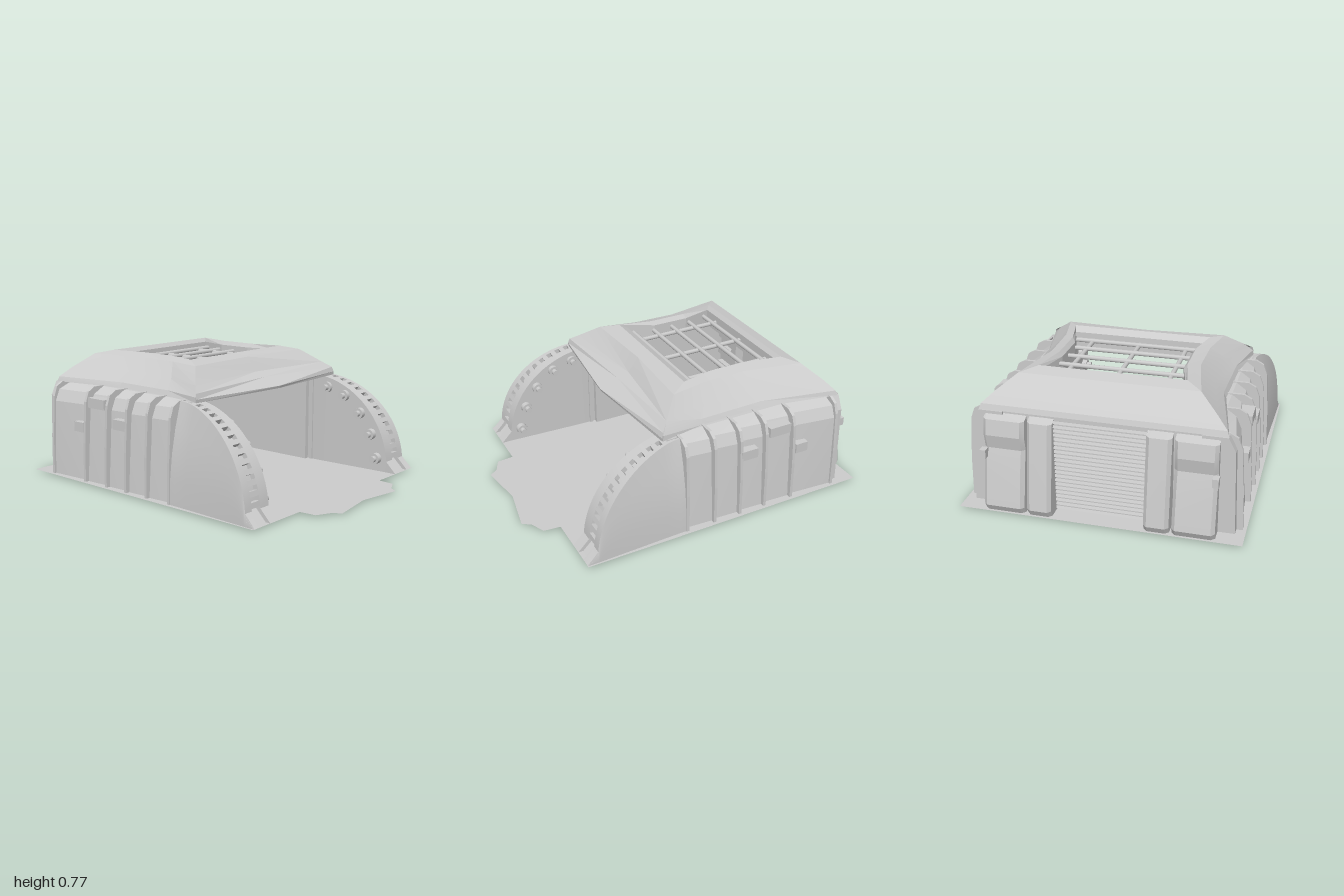
import * as THREE from 'three';
import { toCreasedNormals } from 'three/addons/utils/BufferGeometryUtils.js';

const grey = new THREE.MeshStandardMaterial({ color: 0xcccccc, side: THREE.DoubleSide });
const FLOOR = 0.012;

function add(parent, name, geometry, x = 0, y = 0, z = 0) {
  const mesh = new THREE.Mesh(geometry, grey);
  mesh.name = name;
  mesh.position.set(x, y, z);
  parent.add(mesh);
  return mesh;
}

function box(parent, name, x0, x1, y0, y1, z0, z1) {
  return add(parent, name, new THREE.BoxGeometry(x1 - x0, y1 - y0, z1 - z0),
    (x0 + x1) / 2, (y0 + y1) / 2, (z0 + z1) / 2);
}

// Surface through rows of [x, y, z] points; closed joins each row's end to its start
function loft(rows, closed = false, crease = 0.3) {
  const n = rows[0].length, pos = [], index = [];
  rows.forEach(r => r.forEach(p => pos.push(...p)));
  for (let i = 0; i < rows.length - 1; i++) {
    for (let j = 0; j < (closed ? n : n - 1); j++) {
      const a = i * n + j, b = i * n + (j + 1) % n;
      index.push(a, b, a + n, b, b + n, a + n);
    }
  }
  const g = new THREE.BufferGeometry();
  g.setAttribute('position', new THREE.Float32BufferAttribute(pos, 3));
  g.setIndex(index);
  return toCreasedNormals(g, crease);
}

function outline(points) {
  return new THREE.Shape(points.map(p => new THREE.Vector2(...p)));
}

// Slab with an x-y outline, between two z values
function slab(parent, name, points, z0, z1) {
  const g = new THREE.ExtrudeGeometry(outline(points), { depth: z1 - z0, bevelEnabled: false });
  return add(parent, name, g, 0, 0, z0);
}

// Curved front fin with a laddered groove along its edge
function buildFin(side) {
  const fin = new THREE.Group();
  fin.name = 'frontFin';
  const arc = t => [0.18 + 0.565 * Math.cos(t), 0.03 + 0.555 * Math.sin(t)];
  const lean = z => THREE.MathUtils.clamp((0.75 - z) / 0.5, 0, 1);
  const section = (z, y, t) => {
    const s = lean(z), dz = 0.03 * Math.cos(t), dy = Math.min(0.03 * Math.sin(t), y - FLOOR);
    const inner = 0.59 - 0.02 * s, band = 0.66 - 0.035 * s;
    const rim = 0.73 - 0.065 * s, edge = 0.785 - 0.105 * s, foot = 0.79 - 0.015 * s;
    const row = [[inner, FLOOR, z], [inner, y, z], [band, y, z], [band, y - dy, z - dz],
      [rim, y - dy, z - dz], [rim, y, z], [edge, y, z]];
    for (const v of [0.75, 0.5, 0.25, 0]) {
      row.push([foot - (foot - edge) * v * v, FLOOR + (y - FLOOR) * v, z]);
    }
    return row;
  };
  const rows = [section(0.81, FLOOR, 0)];
  for (let i = 0; i <= 20; i++) {
    const t = 0.09 + (Math.PI / 2 - 0.09) * i / 20;
    rows.push(section(...arc(t), t));
  }
  add(fin, 'finShell', loft(rows, true, 0.4));
  // Rungs across the groove
  for (let i = 0; i < 13; i++) {
    const t = 0.14 + i * 0.105, [z, y] = arc(t), s = lean(z);
    const rung = add(fin, 'rung', new THREE.BoxGeometry(0.075 - 0.025 * s, 0.03, 0.035),
      0.695 - 0.05 * s, y - 0.018 * Math.sin(t), z - 0.018 * Math.cos(t));
    rung.rotation.x = -t;
  }
  // Studs on the inner face
  for (const [z, y] of [[0.675, 0.095], [0.63, 0.245], [0.547, 0.37], [0.43, 0.47], [0.3, 0.51]]) {
    add(fin, 'studFlange', new THREE.CylinderGeometry(0.034, 0.034, 0.035, 16), 0.57, y, z).rotation.z = Math.PI / 2;
    add(fin, 'studPin', new THREE.CylinderGeometry(0.019, 0.019, 0.06, 12), 0.555, y, z).rotation.z = Math.PI / 2;
  }
  side.add(fin);
}

// Side wall: stepped panels between pointed ribs
function buildSideWall(side) {
  const ribs = [0.18, 0.0, -0.17, -0.34, -0.53, -0.83];
  const section = (z, d) => [[0.57, FLOOR, z], [0.57, 0.58, z], [0.62, 0.58, z],
    [0.69 + d, 0.54, z], [0.72 + d, 0.47, z], [0.755 + d / 2, FLOOR, z]];
  for (let i = 0; i < ribs.length - 1; i++) {
    const lift = i === 4 ? 0.03 : 0.005;
    add(side, 'sidePanel', loft([section(ribs[i], -0.015), section(ribs[i + 1], lift)], true));
  }
  const profile = [[0.56, FLOOR], [0.56, 0.585], [0.69, 0.585], [0.735, 0.56], [0.757, 0.5], [0.775, 0.25], [0.78, FLOOR]];
  for (const z of ribs) slab(side, 'rib', profile, z - 0.009, z + 0.009);
  // Rear corner post
  slab(side, 'cornerPost', [[0.55, FLOOR], [0.55, 0.58], [0.69, 0.58], [0.73, 0.5], [0.745, FLOOR]], -0.885, -0.83);
  box(side, 'sideHandle', 0.71, 0.765, 0.37, 0.43, -0.28, -0.17);
  box(side, 'sideLatch', 0.71, 0.765, 0.31, 0.37, -0.63, -0.55);
  box(side, 'shoulderBlock', 0.66, 0.76, 0.47, 0.53, -0.5, -0.36);
}

// Rear buttresses, leaning out toward the ground
function buildRear(side) {
  const buttress = (name, x0, x1, profile) => {
    const rows = [x0, x0 + 0.02, x1 - 0.02, x1].map((x, i) => profile.map(([z, y]) =>
      [x, y, i % 3 === 0 ? Math.min(z + 0.02, -0.86) : z]));
    add(side, name, loft(rows, false));
    for (const x of [x0, x1]) {
      add(side, name + 'Cheek', loft([profile.map(([z, y]) => [x, y, Math.min(z + 0.02, -0.86)]),
        profile.map(([, y]) => [x, y, -0.86])]));
    }
  };
  buttress('rearPillar', 0.26, 0.4,
    [[-0.86, 0.57], [-0.925, 0.55], [-0.945, 0.42], [-0.995, 0.05], [-0.975, FLOOR]]);
  buttress('rearPanel', 0.415, 0.65,
    [[-0.86, 0.57], [-0.93, 0.55], [-0.945, 0.46], [-0.93, 0.38], [-0.955, 0.28], [-0.995, 0.05], [-0.975, FLOOR]]);
  box(side, 'rearLatch', 0.625, 0.66, 0.33, 0.38, -0.975, -0.93);
  // Fittings on the inside of the rear wall
  box(side, 'doorPost', 0.26, 0.315, FLOOR, 0.58, -0.83, -0.77);
  for (const y of [0.24, 0.37, 0.495]) box(side, 'wallPanel', 0.32, 0.52, y - 0.033, y + 0.033, -0.83, -0.795);
  box(side, 'floorLocker', 0.42, 0.53, FLOOR, 0.115, -0.83, -0.74);
  box(side, 'innerColumn', 0.54, 0.58, FLOOR, 0.58, -0.83, 0.15);
}

// Waisted roof built from rings around the hatch
function buildRoof(model) {
  const ring = (y, half) => {
    const pts = half.map(([x, z]) => [x, y, z]);
    return [...pts, ...half.slice(1, -1).reverse().map(([x, z]) => [-x, y, z])];
  };
  const rings = [
    ring(0.58, [[0, 0.2], [0.655, 0.28], [0.605, 0], [0.595, -0.4], [0.69, -0.875], [0, -0.875]]),
    ring(0.61, [[0, 0.2], [0.65, 0.275], [0.59, 0], [0.58, -0.4], [0.68, -0.865], [0, -0.865]]),
    ring(0.665, [[0, 0.165], [0.6, 0.23], [0.53, -0.03], [0.525, -0.38], [0.62, -0.815], [0, -0.815]]),
    ring(0.75, [[0, 0.1], [0.49, 0.125], [0.445, -0.1], [0.44, -0.37], [0.51, -0.72], [0, -0.72]]),
    ring(0.77, [[0, 0.02], [0.42, 0.02], [0.375, -0.18], [0.375, -0.42], [0.42, -0.64], [0, -0.64]]),
    ring(0.745, [[0, -0.03], [0.405, -0.03], [0.355, -0.2], [0.355, -0.43], [0.405, -0.62], [0, -0.62]]),
    ring(0.64, [[0, -0.03], [0.405, -0.03], [0.355, -0.2], [0.355, -0.43], [0.405, -0.62], [0, -0.62]]),
  ];
  add(model, 'roofShell', loft(rings, true, 0.2));
  // Pointed visor over the entrance
  add(model, 'visor', loft([
    [[-0.6, 0.665, 0.23], [0, 0.665, 0.165], [0.6, 0.665, 0.23]],
    [[-0.648, 0.63, 0.275], [0, 0.64, 0.235], [0.648, 0.63, 0.275]],
    [[-0.655, 0.6, 0.285], [0, 0.6, 0.355], [0.655, 0.6, 0.285]],
    [[-0.655, 0.58, 0.283], [0, 0.585, 0.35], [0.655, 0.58, 0.283]],
    [[-0.655, 0.58, 0.18], [0, 0.58, 0.18], [0.655, 0.58, 0.18]],
  ], false, 0.1));
  // Hatch bars
  for (const z of [-0.585, -0.455, -0.325, -0.195, -0.065]) {
    add(model, 'hatchCrossBar', new THREE.CylinderGeometry(0.014, 0.014, 0.78, 8), 0, 0.71, z).rotation.z = Math.PI / 2;
  }
  for (const x of [-0.29, 0, 0.29]) {
    add(model, 'hatchLongBar', new THREE.CylinderGeometry(0.014, 0.014, 0.6, 8), x, 0.7, -0.325).rotation.x = Math.PI / 2;
  }
}

export function createModel() {
  const model = new THREE.Group();
  model.name = 'shelter';

  // Ground sheet with a notched front tongue
  const edge = [[0.8, -0.99], [0.8, 0.81], [0.405, 0.81], [0.395, 0.91], [0.31, 0.95], [0.275, 1.0]];
  const sheet = [...edge, [0, 0.955], ...edge.slice().reverse().map(([x, z]) => [-x, z])];
  add(model, 'groundSheet', new THREE.ShapeGeometry(outline(sheet)), 0, FLOOR, 0).rotation.x = Math.PI / 2;
  box(model, 'doorSill', -0.26, 0.31, 0, FLOOR, -0.85, -0.835);

  // Rear wall with a slatted shutter
  box(model, 'rearWall', -0.68, 0.68, FLOOR, 0.585, -0.87, -0.83);
  for (let i = 0; i < 22; i++) {
    const y = 0.025 + i * 0.025;
    const slat = box(model, 'shutterSlat', -0.26, 0.26, y - 0.008, y + 0.008, -0.89, -0.865);
    slat.rotation.x = 0.4;
  }

  // Left side, and its mirror image
  for (const s of [1, -1]) {
    const side = new THREE.Group();
    side.name = s > 0 ? 'leftSide' : 'rightSide';
    buildFin(side);
    buildSideWall(side);
    buildRear(side);
    side.scale.x = s;
    model.add(side);
  }

  buildRoof(model);
  return model;
}
